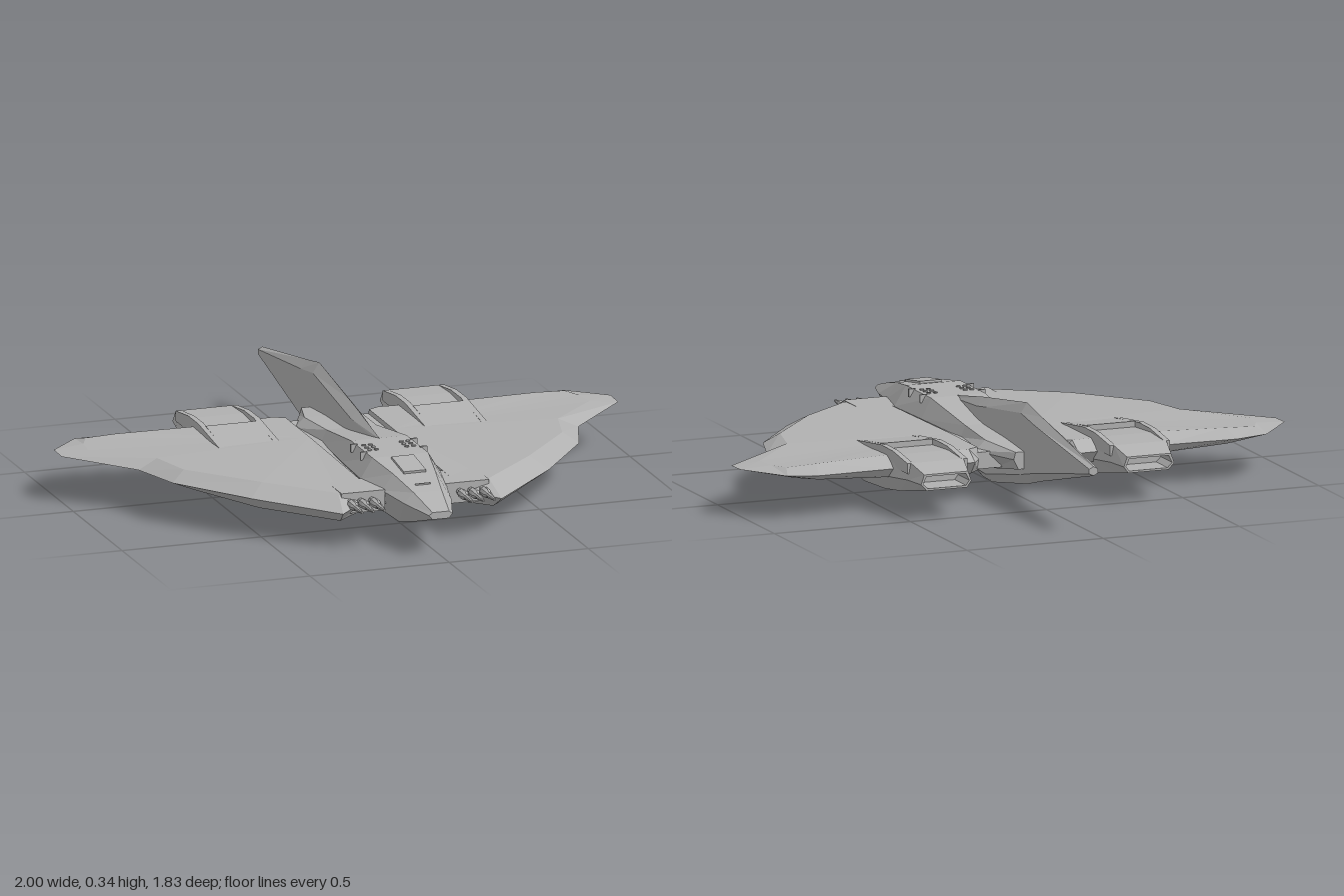
import * as THREE from 'three';

const hull = new THREE.MeshStandardMaterial({ color: 0xb0b0b0 });
hull.name = 'hull grey';
hull.flatShading = true;

// Skin a list of rings (points [x, y, z]) with flat faces and fan caps.
function loft(rings) {
  const pos = [];
  const tri = (a, b, c) => pos.push(...a, ...b, ...c);
  for (let r = 0; r < rings.length - 1; r++) {
    const p = rings[r], q = rings[r + 1], n = p.length;
    for (let i = 0; i < n; i++) {
      const j = (i + 1) % n;
      tri(p[i], q[i], q[j]);
      tri(p[i], q[j], p[j]);
    }
  }
  const first = rings[0], last = rings[rings.length - 1];
  for (let i = 1; i < first.length - 1; i++) {
    tri(first[0], first[i], first[i + 1]);
    tri(last[0], last[i + 1], last[i]);
  }
  const g = new THREE.BufferGeometry();
  g.setAttribute('position', new THREE.Float32BufferAttribute(pos, 3));
  g.computeVertexNormals();
  return g;
}

// Mirror across x = 0, keeping faces outward.
function mirrored(geo) {
  const g = geo.index ? geo.toNonIndexed() : geo.clone();
  const p = g.attributes.position;
  for (let i = 0; i < p.count; i += 3) {
    const v = [0, 2, 1].map(k => [-p.getX(i + k), p.getY(i + k), p.getZ(i + k)]);
    v.forEach((c, k) => p.setXYZ(i + k, ...c));
  }
  g.computeVertexNormals();
  return g;
}

function box(x0, x1, y0, y1, z0, z1) {
  return new THREE.BoxGeometry(x1 - x0, y1 - y0, z1 - z0)
    .translate((x0 + x1) / 2, (y0 + y1) / 2, (z0 + z1) / 2);
}

export function createModel() {
  const model = new THREE.Group();
  model.name = 'starfighter';
  const add = (name, geo) => {
    const m = new THREE.Mesh(geo, hull);
    m.name = name;
    model.add(m);
  };
  const pair = (name, geo) => {
    add(name + 'Left', geo);
    add(name + 'Right', mirrored(geo));
  };

  // Fuselage: z, top y / half width, middle y / half width, bottom y / half width
  add('fuselage', loft([
    [0.915, 0.155, 0.03, 0.145, 0.042, 0.13, 0.03],
    [0.78, 0.19, 0.05, 0.155, 0.085, 0.088, 0.045],
    [0.64, 0.22, 0.075, 0.165, 0.115, 0.05, 0.055],
    [0.5, 0.24, 0.1, 0.17, 0.143, 0.048, 0.06],
    [0.28, 0.24, 0.1, 0.17, 0.135, 0.048, 0.06],
    [0, 0.2, 0.09, 0.16, 0.108, 0.06, 0.06],
    [-0.2, 0.19, 0.1, 0.155, 0.138, 0.09, 0.07],
    [-0.36, 0.175, 0.055, 0.15, 0.062, 0.115, 0.045],
  ].map(([z, ty, tw, my, mw, by, bw]) => [
    [-bw, by, z], [bw, by, z], [mw, my, z], [tw, ty, z], [-tw, ty, z], [-mw, my, z],
  ])));

  // Long blade running through the hull: dorsal fin, keel and tail
  add('spineFin', loft([
    [0.3, 0.046, 0.238, 0.004, 0.01],
    [0.06, 0.004, 0.28, 0.024, 0.03],
    [-0.02, 0, 0.292, 0.025, 0.03],
    [-0.33, 0.055, 0.338, 0.024, 0.035],
    [-0.46, 0.09, 0.313, 0.024, 0.03],
    [-0.915, 0.2, 0.232, 0.016, 0.008],
  ].map(([z, b, t, w, c]) => [
    [0, b, z], [w, b + c, z], [w, t - c, z], [0, t, z], [-w, t - c, z], [-w, b + c, z],
  ])));

  // Cockpit hatch lying on the sloping nose, and belly plate
  add('hatch', box(-0.04, 0.04, -0.004, 0.004, -0.065, 0.065)
    .rotateX(0.142).translate(0, 0.232, 0.585));
  add('noseSeam', box(-0.027, 0.027, -0.003, 0.003, -0.003, 0.003).translate(0, 0.202, 0.73));
  add('bellyPlate', box(-0.03, 0.03, 0.032, 0.055, 0.38, 0.54));

  // Small round vents on the deck and brackets on its shoulders
  for (let r = 0; r < 3; r++) {
    for (let c = 0; c < 2; c++) {
      pair('deckVent', new THREE.CylinderGeometry(0.008, 0.008, 0.006, 8)
        .translate(0.055 + c * 0.024, 0.241, 0.35 + r * 0.03));
    }
  }
  for (const z of [0.33, 0.43]) {
    pair('shoulderBracket', box(0.095, 0.12, 0.215, 0.243, z - 0.004, z + 0.004));
  }

  // Wing: top plateau, sharp rim and underside, each point as [x, z, y]
  const top = [[0.15, 0, 0.18], [0.15, 0.58, 0.172], [0.27, 0.635, 0.17], [0.48, 0.45, 0.178],
    [0.68, 0.22, 0.178], [0.72, 0.06, 0.178], [0.9, -0.13, 0.17], [0.89, -0.21, 0.17],
    [0.86, -0.27, 0.172], [0.75, -0.27, 0.176], [0.49, -0.25, 0.18], [0.19, -0.27, 0.18], [0.15, -0.25, 0.18]];
  const rim = [[0.15, 0, 0.14], [0.15, 0.62, 0.14], [0.285, 0.728, 0.122], [0.535, 0.5, 0.138],
    [0.73, 0.25, 0.143], [0.79, 0.07, 0.145], [1, -0.12, 0.16], [1, -0.2, 0.162],
    [0.88, -0.33, 0.155], [0.77, -0.343, 0.15], [0.49, -0.315, 0.145], [0.19, -0.328, 0.145], [0.15, -0.262, 0.14]];
  const under = [[0.15, 0, 0.095], [0.15, 0.58, 0.09], [0.275, 0.67, 0.082], [0.49, 0.45, 0.088],
    [0.64, 0.21, 0.1], [0.69, 0.05, 0.108], [0.87, -0.12, 0.135], [0.87, -0.2, 0.138],
    [0.83, -0.28, 0.135], [0.75, -0.29, 0.125], [0.49, -0.28, 0.11], [0.19, -0.29, 0.1], [0.15, -0.25, 0.1]];
  pair('wing', loft([top, rim, under].map(ring => ring.map(([x, z, y]) => [x, y, z]))));
  pair('wingRoot', box(0.06, 0.16, 0.105, 0.163, -0.26, 0.6));

  // Engine nacelle with hollow intake and exhaust: z, bottom, top, inset
  pair('nacelle', loft([
    [-0.1, 0.055, 0.1, 0.012],
    [0.015, 0.045, 0.1, 0.012],
    [0.015, 0.035, 0.11, 0],
    [-0.17, 0.045, 0.183, 0],
    [-0.31, 0.065, 0.192, -0.003],
    [-0.43, 0.09, 0.186, 0.006],
    [-0.51, 0.104, 0.16, 0.022],
    [-0.51, 0.111, 0.153, 0.03],
    [-0.41, 0.111, 0.153, 0.03],
  ].map(([z, b, t, d]) => {
    const m = b + (t - b) * 0.4;
    return [[0.285 + d * 0.5, b, z], [0.455 - d * 0.5, b, z], [0.487 - d, m, z],
      [0.475 - d, t, z], [0.27 + d, t, z], [0.258 + d, m, z]];
  })));

  // Raised ramp ahead of the nacelle deck, with a cheek on either side
  const ramp = (x0, x1, pts) => loft(pts.map(([z, t]) =>
    [[x0, 0.15, z], [x1, 0.15, z], [x1, t, z], [x0, t, z]]));
  pair('nacelleRamp', ramp(0.28, 0.465, [[0.02, 0.176], [-0.17, 0.203]]));
  for (const x of [0.262, 0.462]) {
    pair('nacelleCheek', ramp(x, x + 0.02, [[0.05, 0.174], [-0.2, 0.205], [-0.3, 0.204], [-0.43, 0.186]]));
  }

  // Triple cannons on a block beside the nose
  pair('cannonBlock', box(0.11, 0.265, 0.1, 0.172, 0.5, 0.655));
  const barrel = [[0, 0], [0.012, 0], [0.012, 0.03], [0.016, 0.035], [0.016, 0.07],
    [0.009, 0.085], [0.011, 0.1], [0.004, 0.15], [0, 0.15]].map(p => new THREE.Vector2(...p));
  for (const x of [0.158, 0.198, 0.238]) {
    pair('cannon', new THREE.LatheGeometry(barrel, 8).rotateX(Math.PI / 2).translate(x, 0.14, 0.642));
  }
  return model;
}
